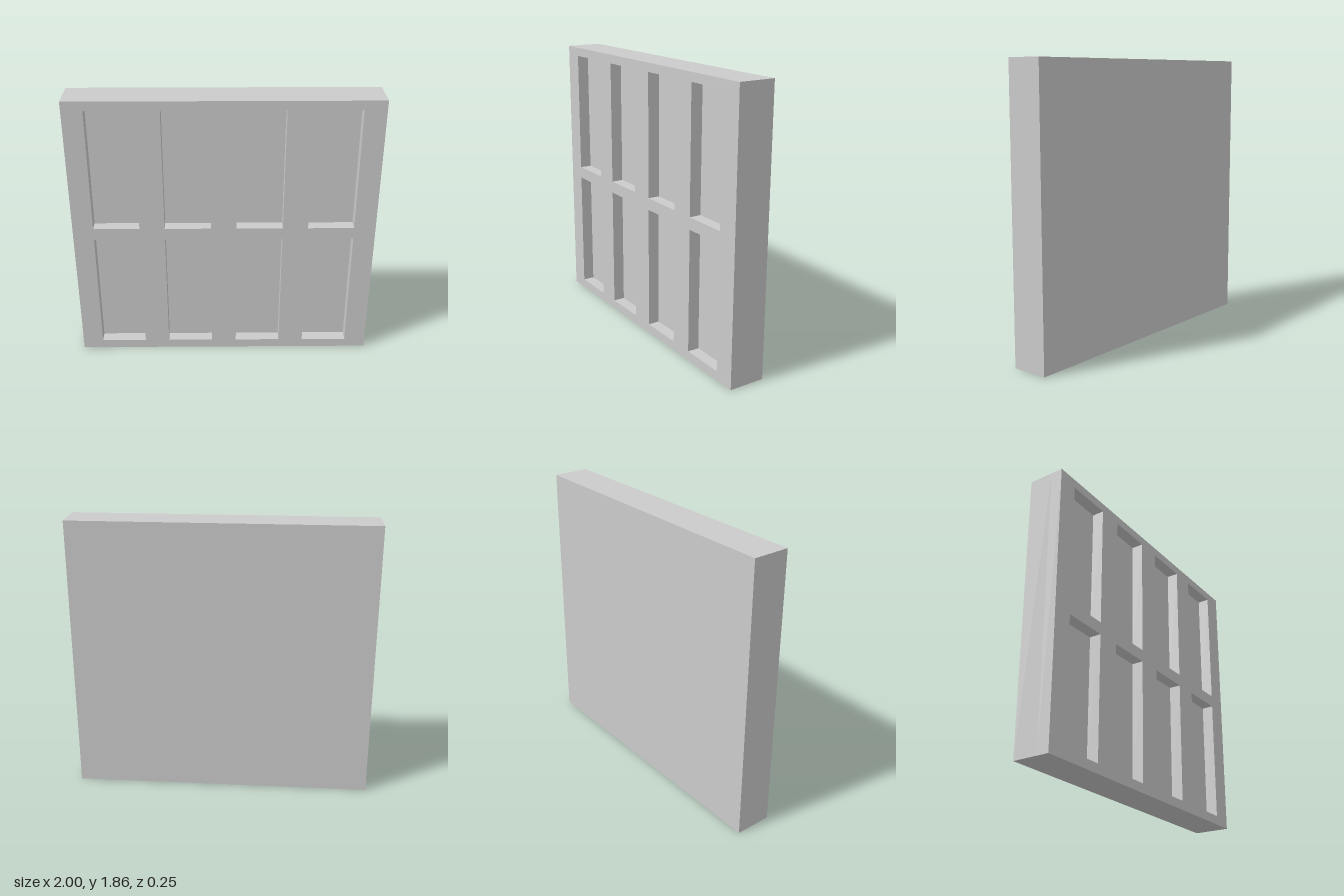
import * as THREE from 'three';

const WIDTH = 2, HEIGHT = 1.86, DEPTH = 0.245, RECESS = 0.08;
const PANEL_W = 0.305, PANEL_H = 0.829;
const COLUMNS = [-0.864, -0.393, 0.082, 0.553]; // left edges of the recesses
const ROWS = [0.062, 0.972]; // bottom edges of the recesses

// Traces a rectangle on a shape or path
function rectangle(path, x, y, w, h) {
  path.moveTo(x, y);
  path.lineTo(x + w, y);
  path.lineTo(x + w, y + h);
  path.lineTo(x, y + h);
  path.closePath();
  return path;
}

export function createModel() {
  const group = new THREE.Group();
  group.name = 'panelledSlab';
  const material = new THREE.MeshStandardMaterial({ color: 0xcccccc, flatShading: true });

  // Solid slab whose front forms the recess floors
  const backDepth = DEPTH - RECESS;
  const back = new THREE.Mesh(new THREE.BoxGeometry(WIDTH, HEIGHT, backDepth), material);
  back.name = 'backSlab';
  back.position.set(0, HEIGHT / 2, -RECESS / 2);
  group.add(back);

  // Front frame with a grid of rectangular openings
  const outline = rectangle(new THREE.Shape(), -WIDTH / 2, 0, WIDTH, HEIGHT);
  for (const x of COLUMNS) {
    for (const y of ROWS) {
      outline.holes.push(rectangle(new THREE.Path(), x, y, PANEL_W, PANEL_H));
    }
  }
  const frame = new THREE.Mesh(
    new THREE.ExtrudeGeometry(outline, { depth: RECESS, bevelEnabled: false }),
    material
  );
  frame.name = 'frontFrame';
  frame.position.z = DEPTH / 2 - RECESS;
  group.add(frame);

  return group;
}
